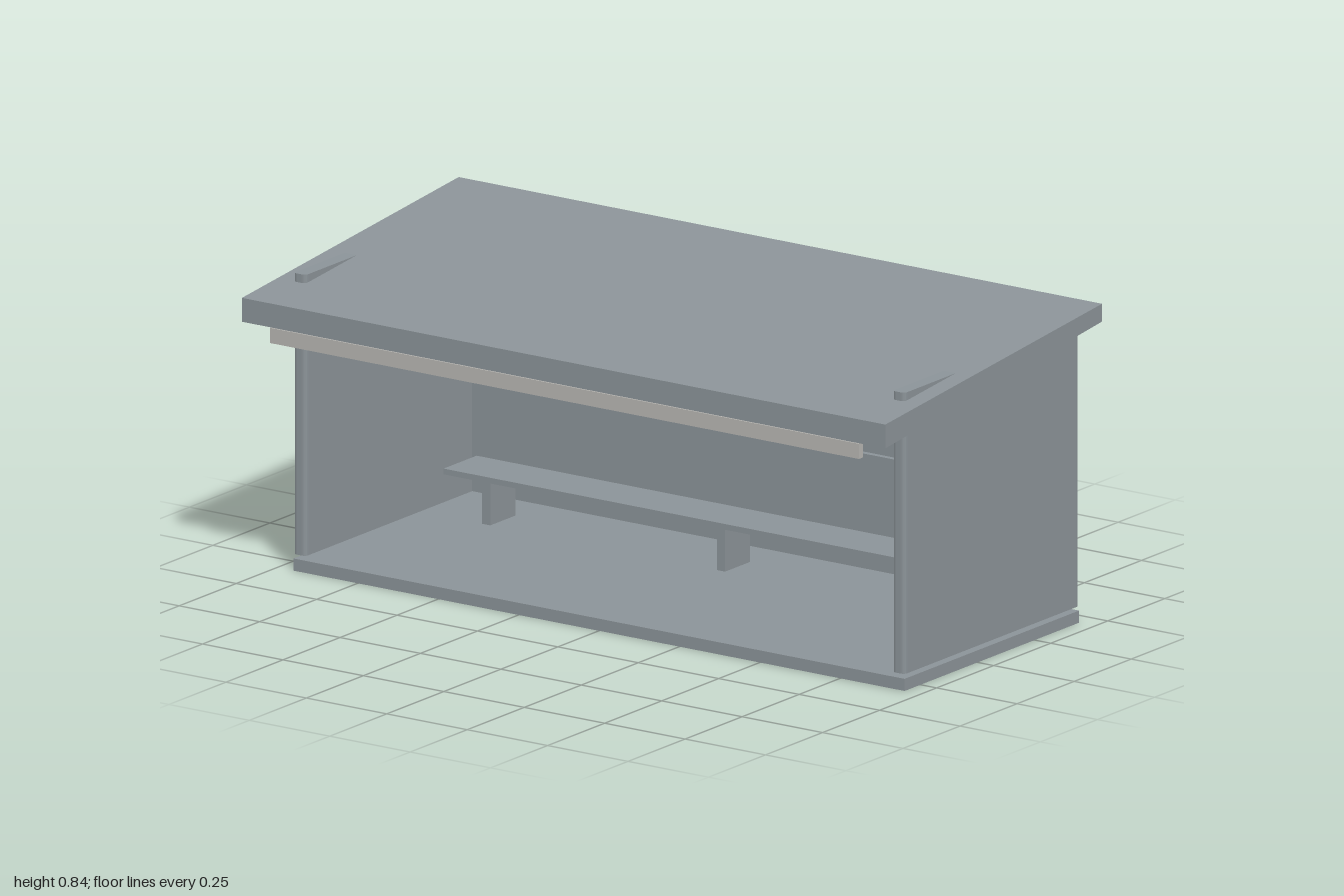
import * as THREE from 'three';

export function createModel() {
  const model = new THREE.Group();
  model.name = 'shelter';

  const panelGrey = new THREE.MeshStandardMaterial({ color: 0x8c9499 });
  panelGrey.name = 'panelGrey';
  const paleGrey = new THREE.MeshStandardMaterial({ color: 0xb8b7b3 });
  paleGrey.name = 'paleGrey';

  const add = (name, geometry, material) => {
    const mesh = new THREE.Mesh(geometry, material);
    mesh.name = name;
    model.add(mesh);
    return mesh;
  };

  // Box given by its limits on each axis
  const box = (name, [x0, x1], [y0, y1], [z0, z1], material = panelGrey) => {
    const g = new THREE.BoxGeometry(x1 - x0, y1 - y0, z1 - z0);
    g.translate((x0 + x1) / 2, (y0 + y1) / 2, (z0 + z1) / 2);
    return add(name, g, material);
  };

  // Floor slab
  box('floor', [-0.95, 0.95], [0, 0.032], [-0.445, 0.32]);

  // U-shaped wall plan with rounded outer corners and front ends (shape y = -z)
  const r = 0.012, w = 0.95, inner = 0.912, front = -0.32, back = 0.445, backInner = 0.41;
  const plan = new THREE.Shape();
  plan.moveTo(-w, front + r);
  plan.quadraticCurveTo(-w, front, -w + r, front);
  plan.lineTo(-inner - r, front);
  plan.quadraticCurveTo(-inner, front, -inner, front + r);
  plan.lineTo(-inner, backInner);
  plan.lineTo(inner, backInner);
  plan.lineTo(inner, front + r);
  plan.quadraticCurveTo(inner, front, inner + r, front);
  plan.lineTo(w - r, front);
  plan.quadraticCurveTo(w, front, w, front + r);
  plan.lineTo(w, back - r);
  plan.quadraticCurveTo(w, back, w - r, back);
  plan.lineTo(-w + r, back);
  plan.quadraticCurveTo(-w, back, -w, back - r);
  plan.closePath();
  const wallGeometry = new THREE.ExtrudeGeometry(plan, { depth: 0.742, bevelEnabled: false, curveSegments: 4 });
  wallGeometry.rotateX(-Math.PI / 2).translate(0, 0.044, 0);
  add('walls', wallGeometry, panelGrey);

  // Tapered sloping roof, profile in (z, y) swept along x
  const profile = new THREE.Shape([
    new THREE.Vector2(0.475, 0.685),
    new THREE.Vector2(0.475, 0.748),
    new THREE.Vector2(-0.475, 0.843),
    new THREE.Vector2(-0.475, 0.796),
  ]);
  const roofGeometry = new THREE.ExtrudeGeometry(profile, { depth: 2, bevelEnabled: false });
  roofGeometry.rotateY(-Math.PI / 2).translate(1, 0, 0);
  add('roof', roofGeometry, panelGrey);

  // Rail under the front edge of the roof
  box('frontRail', [-0.915, 0.915], [0.642, 0.682], [0.453, 0.471], paleGrey);

  // Back panel and its plain sign plate
  box('backPanel', [-0.89, 0.89], [0.385, 0.74], [-0.412, -0.404]);
  box('signPlate', [-0.26, 0.255], [0.477, 0.602], [-0.405, -0.398], paleGrey);

  // Bench
  box('backrest', [-0.852, 0.852], [0.235, 0.352], [-0.412, -0.395]);
  box('seat', [-0.852, 0.852], [0.148, 0.163], [-0.345, -0.2]);
  for (const x of [-0.73, 0, 0.73]) {
    box('benchLeg', [x - 0.0125, x + 0.0125], [0.03, 0.15], [-0.325, -0.215]);
  }

  return model;
}
